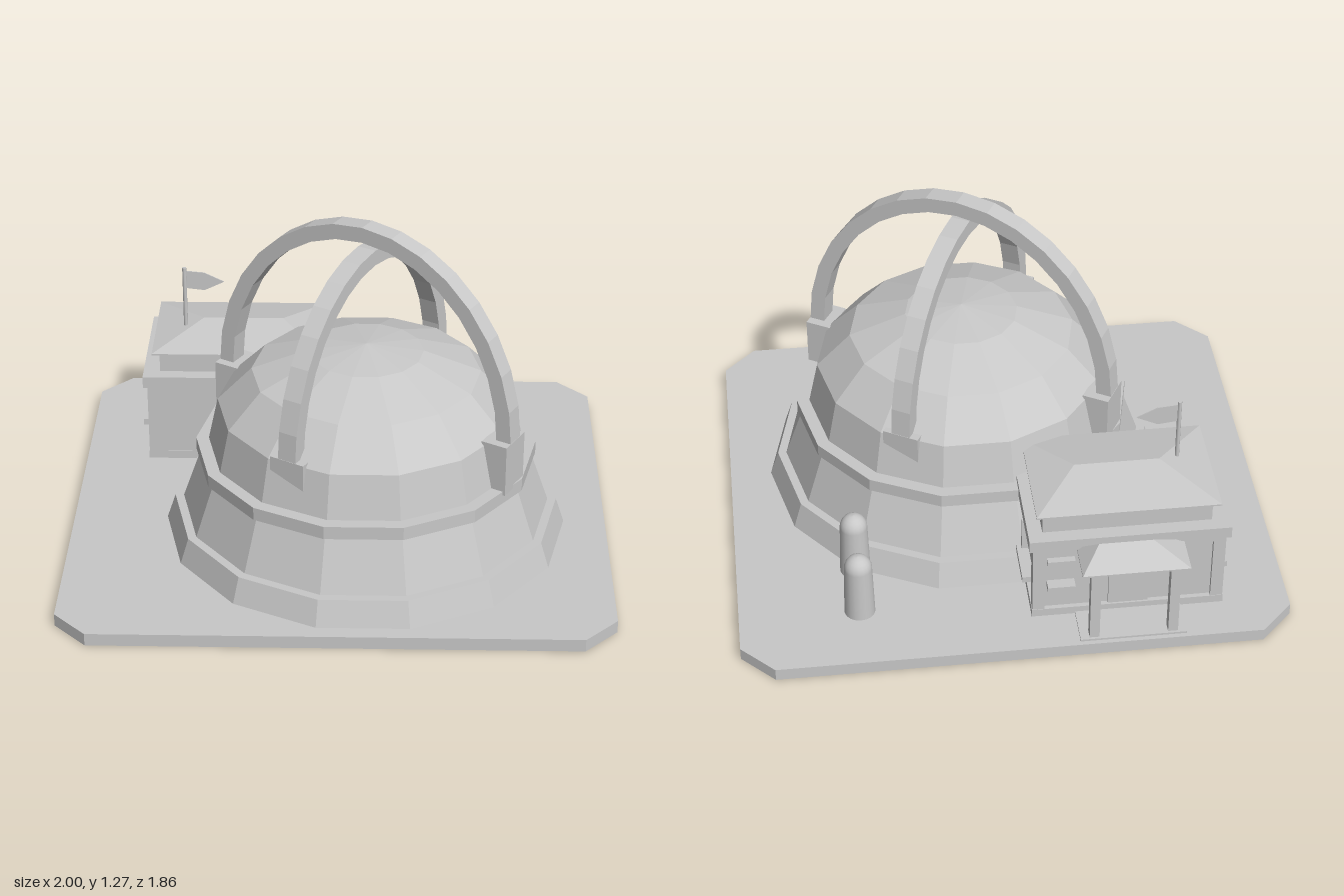
import * as THREE from 'three';
import { ConvexGeometry } from 'three/addons/geometries/ConvexGeometry.js';

const stone = new THREE.MeshStandardMaterial({ color: 0xc8c8c8 });
stone.name = 'grey stone';
const V = (x, y, z) => new THREE.Vector3(x, y, z);

// give a geometry hard facets
function faceted(geo) {
  const g = geo.index ? geo.toNonIndexed() : geo;
  g.computeVertexNormals();
  return g;
}

function add(parent, name, geo) {
  const mesh = new THREE.Mesh(geo, stone);
  mesh.name = name;
  parent.add(mesh);
  return mesh;
}

// box given by its limits on each axis
function box(parent, name, x0, x1, y0, y1, z0, z1) {
  const m = add(parent, name, new THREE.BoxGeometry(x1 - x0, y1 - y0, z1 - z0));
  m.position.set((x0 + x1) / 2, (y0 + y1) / 2, (z0 + z1) / 2);
  return m;
}

// hipped roof: rectangular eave of small thickness below a ridge along x
function hipRoof(parent, name, x0, x1, z0, z1, y, lip, rx0, rx1, rz, top) {
  const pts = [V(rx0, top, rz), V(rx1, top, rz)];
  for (const x of [x0, x1]) for (const z of [z0, z1]) pts.push(V(x, y, z), V(x, y + lip, z));
  return add(parent, name, new ConvexGeometry(pts));
}

// half-elliptic arch standing on two footings
function arch(name, radius, top, angle) {
  const g = new THREE.Group();
  g.name = name;
  const n = 16, t = 0.058, base = 0.56, width = 0.072, foot = 0.138, h = top - base;
  const ring = (a, b) => Array.from({ length: n + 1 }, (_, i) =>
    new THREE.Vector2(a * Math.cos(Math.PI * i / n), base + b * Math.sin(Math.PI * i / n)));
  const shape = new THREE.Shape([...ring(radius, h), ...ring(radius - t, h - t).reverse()]);
  const geo = new THREE.ExtrudeGeometry(shape, { depth: width, bevelEnabled: false });
  geo.translate(0, 0, -width / 2);
  add(g, 'archBand', faceted(geo));
  for (const s of [-1, 1]) {
    const a = s * radius, b = s * (radius - 0.1);
    box(g, 'archFooting', Math.min(a, b), Math.max(a, b), 0.38, 0.577, -foot / 2, foot / 2);
  }
  g.rotation.y = angle;
  return g;
}

function createDome() {
  const g = new THREE.Group();
  g.name = 'dome';
  const profile = [
    [0.75, 0.04], [0.715, 0.145], [0.683, 0.145], [0.613, 0.345], [0.63, 0.345],
    [0.63, 0.395], [0.583, 0.395], [0.547, 0.56], [0.42, 0.69], [0.21, 0.77], [0, 0.797],
  ].map(([r, y]) => new THREE.Vector2(r, y));
  add(g, 'domeShell', faceted(new THREE.LatheGeometry(profile, 14, Math.PI / 2)));
  g.add(arch('tallArch', 0.62, 1.275, -Math.PI / 6));
  g.add(arch('lowArch', 0.548, 1.18, Math.PI / 3));
  g.position.set(0.098, 0, 0.148);
  return g;
}

function createBuilding() {
  const g = new THREE.Group();
  g.name = 'building';
  const x0 = -0.755, x1 = -0.058, z0 = -0.765, z1 = -0.285, p = 0.045, d = 0.015;
  // recessed walls, plain front wall, plinth, top band and rear piers
  box(g, 'walls', x0 + d, x1 - d, 0.04, 0.375, z0 + d, z1 - d);
  box(g, 'frontWall', x0, x1, 0.04, 0.373, z1 - p, z1);
  box(g, 'plinth', x0 - 0.002, x1 + 0.002, 0.04, 0.08, z0 - 0.002, z1 + 0.002);
  box(g, 'wallBand', x0 + 0.003, x1 - 0.003, 0.34, 0.373, z0 + 0.003, z1 - 0.003);
  for (const x of [x0, x1 - p]) box(g, 'rearPier', x, x + p, 0.07, 0.373, z0, z0 + p);
  // stacked roof
  box(g, 'roofSlab', -0.77, -0.043, 0.37, 0.417, -0.78, -0.268);
  box(g, 'roofBlock', -0.706, -0.095, 0.417, 0.498, -0.728, -0.32);
  hipRoof(g, 'hippedRoof', -0.735, -0.072, -0.747, -0.302, 0.495, 0.006, -0.545, -0.235, -0.525, 0.547);
  // side windows: slim mullions over a long sill
  for (const [s, bars] of [[-1, [-0.59, -0.44]], [1, [-0.525]]]) {
    const wall = s < 0 ? x0 : x1;
    const out = (name, amount, y0, y1, a, b) => {
      const inner = wall - s * 0.025, outer = wall + s * amount;
      box(g, name, Math.min(inner, outer), Math.max(inner, outer), y0, y1, a, b);
    };
    out('sideSill', 0.028, 0.148, 0.172, -0.69, -0.37);
    for (const z of bars) out('sideMullion', 0.01, 0.172, 0.305, z - 0.009, z + 0.009);
  }
  // rear window sill and lintel
  box(g, 'rearSill', -0.21, -0.11, 0.183, 0.205, z0 - 0.028, z0 + 0.03);
  box(g, 'rearLintel', -0.21, -0.11, 0.295, 0.312, z0 - 0.01, z0 + 0.03);
  // rear porch
  box(g, 'door', -0.48, -0.335, 0.07, 0.3, z0 + 0.005, z0 + 0.03);
  box(g, 'porchStep', -0.6, -0.214, 0.04, 0.056, -0.915, z0 + 0.02);
  for (const x of [-0.55, -0.265])
    box(g, 'porchPost', x - 0.018, x + 0.018, 0.04, 0.37, -0.906, -0.87);
  hipRoof(g, 'porchRoof', -0.6, -0.214, -0.92, -0.765, 0.36, 0.006, -0.48, -0.285, -0.82, 0.425);
  // flagpole and pennant
  const pole = add(g, 'flagpole', new THREE.CylinderGeometry(0.008, 0.008, 0.28, 8));
  pole.position.set(-0.615, 0.638, -0.495);
  const outline = [[0, 0.765], [0.075, 0.758], [0.152, 0.72], [0.075, 0.683], [0, 0.692]];
  const cloth = new THREE.Shape(outline.map(([x, y]) => new THREE.Vector2(x, y)));
  const flag = add(g, 'flag', new THREE.ExtrudeGeometry(cloth, { depth: 0.004, bevelEnabled: false }));
  flag.position.set(-0.613, 0, -0.497);
  return g;
}

export function createModel() {
  const root = new THREE.Group();
  root.name = 'domedComplex';

  // ground slab with chamfered corners
  const w = 1, d = 0.932, c = 0.12;
  const plan = new THREE.Shape([
    [-w + c, -d], [w - c, -d], [w, -d + c], [w, d - c], [w - c, d], [-w + c, d], [-w, d - c], [-w, -d + c],
  ].map(([x, y]) => new THREE.Vector2(x, y)));
  const slab = new THREE.ExtrudeGeometry(plan, { depth: 0.048, bevelEnabled: false });
  slab.rotateX(-Math.PI / 2);
  add(root, 'groundSlab', slab);

  root.add(createDome(), createBuilding());

  // round-topped storage tanks
  const tank = [new THREE.Vector2(0.057, 0.04), new THREE.Vector2(0.051, 0.255)];
  for (let i = 1; i <= 6; i++) {
    const a = i / 6 * Math.PI / 2;
    tank.push(new THREE.Vector2(Math.max(0, 0.051 * Math.cos(a)), 0.255 + 0.054 * Math.sin(a)));
  }
  for (const z of [-0.659, -0.436])
    add(root, 'storageTank', new THREE.LatheGeometry(tank, 18)).position.set(0.56, 0, z);

  return root;
}
